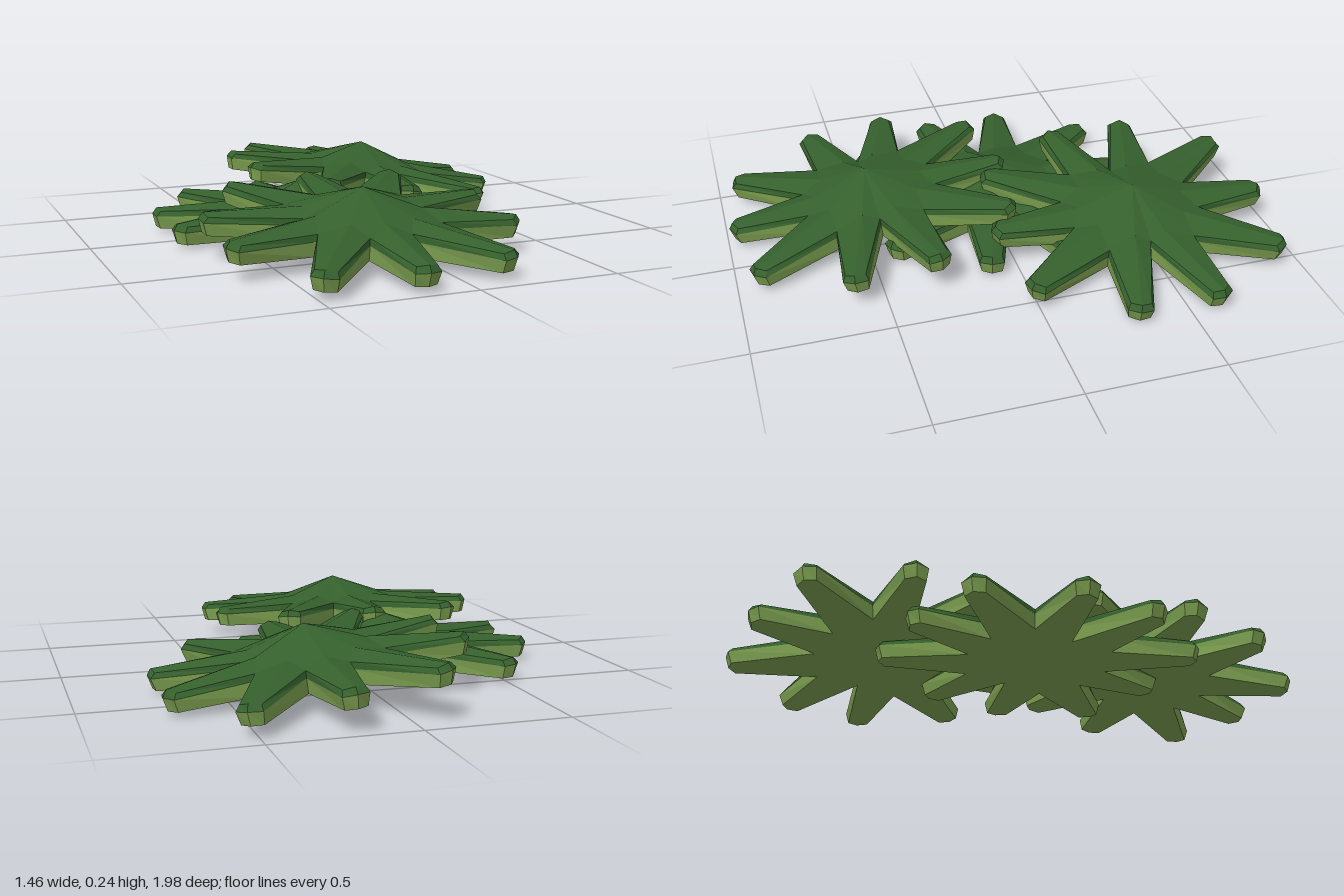
import * as THREE from 'three';

const topGreen = new THREE.MeshStandardMaterial({ color: 0x35602d, flatShading: true });
topGreen.name = 'dark leaf green';
const underGreen = new THREE.MeshStandardMaterial({ color: 0x7fa352, flatShading: true });
underGreen.name = 'light leaf green';

// Ten leaf tips as x, z offsets from the middle, in order of angle
const quarter = [[0.52, 0.155], [0.325, 0.48], [0, 0.53]];
const tips = [
  ...quarter,
  ...quarter.slice(0, 2).reverse().map(([x, z]) => [-x, z]),
  ...quarter.slice(0, 2).map(([x, z]) => [-x, -z]),
  ...quarter.slice().reverse().map(([x, z]) => [x, -z]),
];
const valleyRadius = [0.22, 0.285, 0.265, 0.265, 0.285];

// One outline of the star: valley, left corner, point and right corner for each leaf
function outline(inset, yValley, yTip, yPoint) {
  const ring = [];
  tips.forEach(([x, z], i) => {
    const before = tips[(i + 9) % 10];
    const middle = new THREE.Vector2(x, z).normalize()
      .add(new THREE.Vector2(...before).normalize()).normalize();
    const r = valleyRadius[i % 5] - inset * 0.6;
    ring.push(new THREE.Vector3(middle.x * r, yValley, middle.y * r));
    const length = Math.hypot(x, z), dx = x / length, dz = z / length;
    const half = 0.045 - inset * 0.6;
    const reach = length - 0.01 - inset;
    const corner = (along, side, y) =>
      new THREE.Vector3(dx * along - dz * side, y, dz * along + dx * side);
    ring.push(corner(reach, -half, yTip), corner(reach + 0.018, 0, yPoint), corner(reach, half, yTip));
  });
  return ring;
}

function facets(triangles) {
  const geometry = new THREE.BufferGeometry().setFromPoints(triangles);
  geometry.computeVertexNormals();
  return geometry;
}

// Faces between an upper and a lower outline
function band(upper, lower, out) {
  upper.forEach((a, i) => {
    const j = (i + 1) % upper.length;
    out.push(a, upper[j], lower[i], upper[j], lower[j], lower[i]);
  });
}

const upperRing = outline(0.015, 0.085, 0.078, 0.086);
const edgeRing = outline(0, 0.062, 0.06, 0.064);
const lowerRing = outline(0.012, 0.008, 0.014, 0.016);

// Raised crown with a ridge along each leaf, and a narrow bevel
function crownGeometry() {
  const out = [];
  const apex = new THREE.Vector3(0, 0.18, 0);
  tips.forEach(([x, z], i) => {
    const k = 0.2 / Math.hypot(x, z);
    const shoulder = new THREE.Vector3(x * k, 0.11, z * k);
    const [v0, l, t, r] = upperRing.slice(i * 4, i * 4 + 4);
    const v1 = upperRing[(i * 4 + 4) % 40];
    out.push(apex, shoulder, v0, apex, v1, shoulder);
    out.push(v0, shoulder, l, l, shoulder, t, t, shoulder, r, r, shoulder, v1);
  });
  band(upperRing, edgeRing, out);
  return facets(out);
}

// Pale leaf sides and underside
function undersideGeometry() {
  const out = [];
  band(edgeRing, lowerRing, out);
  const middle = new THREE.Vector3(0, 0, 0);
  tips.forEach((_, i) => {
    const [v0, l, t, r] = lowerRing.slice(i * 4, i * 4 + 4);
    const v1 = lowerRing[(i * 4 + 4) % 40];
    out.push(middle, v0, t, middle, t, v1, v0, l, t, t, r, v1);
  });
  return facets(out);
}

export function createModel() {
  const model = new THREE.Group();
  model.name = 'leafCluster';
  const crown = crownGeometry(), underside = undersideGeometry();

  // Three overlapping rosettes; the upper two lean off the lowest
  const rosettes = [
    ['lowerRosette', [-0.2, 0.005, -0.045], [0, 0, 0]],
    ['frontRosette', [-0.165, 0.068, 0.45], [0.11, 0, 0]],
    ['backRosette', [0.205, 0.068, -0.455], [0, 0, -0.125]],
  ];
  for (const [name, position, rotation] of rosettes) {
    const rosette = new THREE.Group();
    rosette.name = name;
    const top = new THREE.Mesh(crown, topGreen);
    top.name = 'leafTops';
    const bottom = new THREE.Mesh(underside, underGreen);
    bottom.name = 'leafUndersides';
    rosette.add(top, bottom);
    rosette.position.set(...position);
    rosette.rotation.set(...rotation);
    model.add(rosette);
  }
  return model;
}
